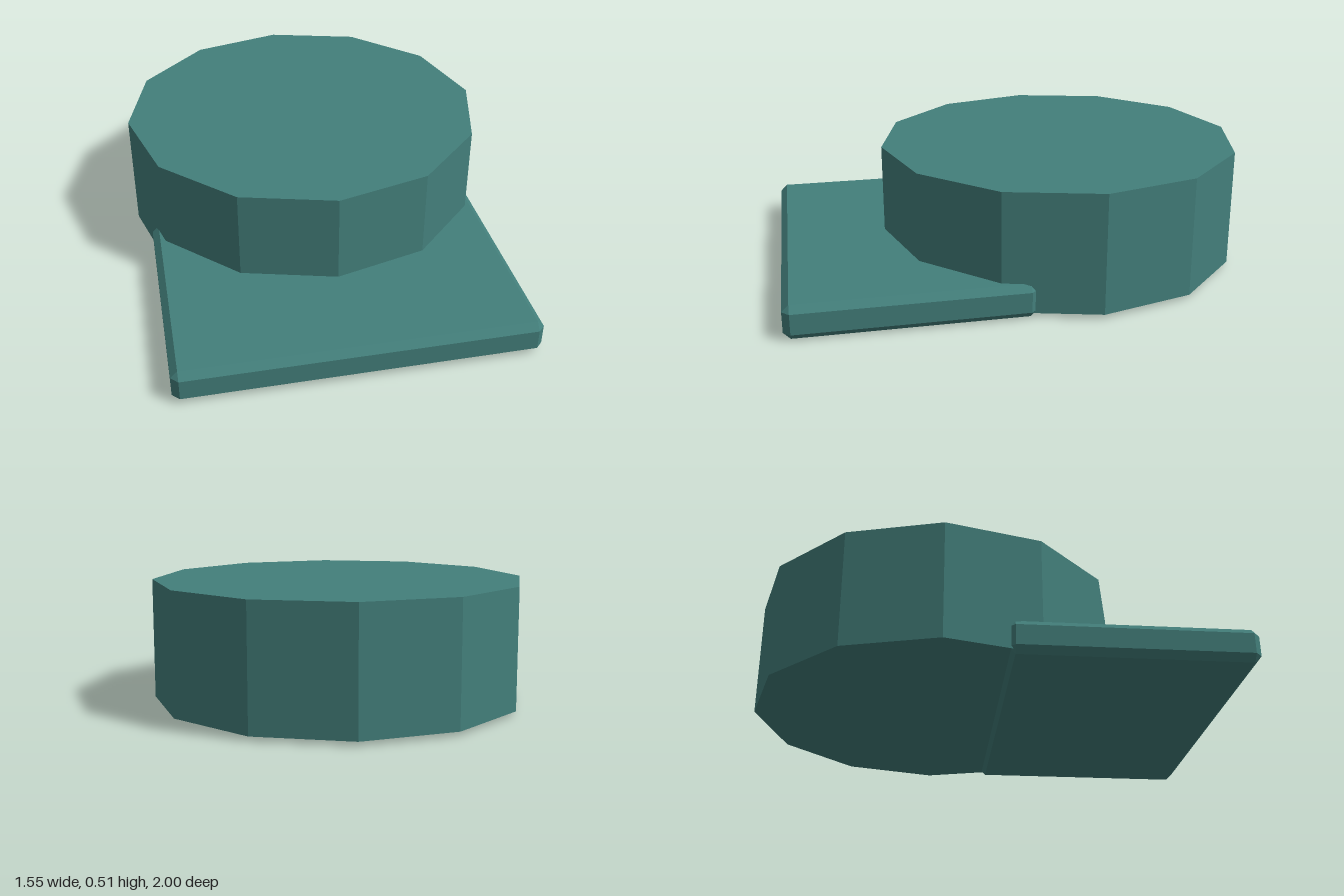
import * as THREE from 'three';
import { ConvexGeometry } from 'three/addons/geometries/ConvexGeometry.js';

// Box with every edge and corner chamfered by c
function chamferBox(w, h, d, c) {
  const points = [];
  for (const sx of [-1, 1]) for (const sy of [-1, 1]) for (const sz of [-1, 1]) {
    const x = w / 2, y = h / 2, z = d / 2;
    points.push(
      new THREE.Vector3(sx * x, sy * (y - c), sz * (z - c)),
      new THREE.Vector3(sx * (x - c), sy * y, sz * (z - c)),
      new THREE.Vector3(sx * (x - c), sy * (y - c), sz * z)
    );
  }
  return new ConvexGeometry(points);
}

export function createModel() {
  const group = new THREE.Group();
  group.name = 'drumOnSlab';

  const teal = new THREE.MeshStandardMaterial({ color: 0x437f7b, flatShading: true });
  teal.name = 'teal';

  // Twelve-sided drum at the back
  const drum = new THREE.Mesh(new THREE.CylinderGeometry(0.776, 0.776, 0.498, 12), teal);
  drum.name = 'drum';
  drum.position.set(0, 0.266, -0.224);

  // Chamfered slab reaching out to the front
  const slab = new THREE.Mesh(chamferBox(1.444, 0.14, 0.976, 0.028), teal);
  slab.name = 'slab';
  slab.position.set(0, 0.07, 0.512);

  group.add(drum, slab);
  return group;
}
